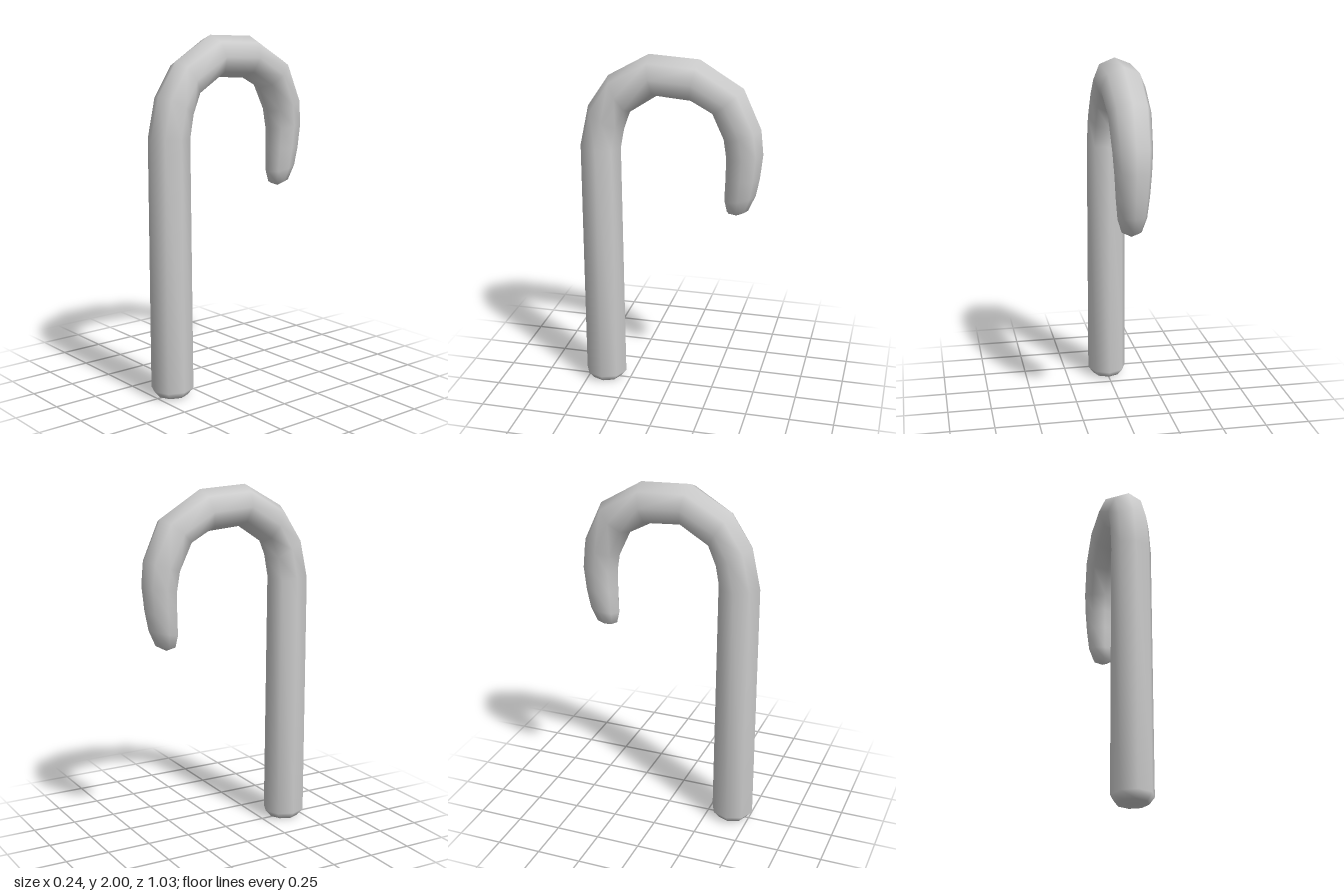
import * as THREE from 'three';
import { mergeVertices } from 'three/addons/utils/BufferGeometryUtils.js';

const SIDES = 8;

// Cross-sections from foot to tip: outer z, outer y, inner z, inner y, half width
const RINGS = [
  [0.40, 0.005, 0.40, 0.005, 0],
  [0.485, 0.01, 0.31, 0.01, 0.085],
  [0.52, 0.05, 0.275, 0.05, 0.115],
  [0.52, 1.46, 0.285, 1.46, 0.112],
  [0.47, 1.69, 0.265, 1.57, 0.11],
  [0.35, 1.87, 0.23, 1.67, 0.107],
  [0.12, 2.0, 0.08, 1.77, 0.122],
  [-0.16, 1.985, -0.11, 1.755, 0.122],
  [-0.40, 1.84, -0.23, 1.69, 0.116],
  [-0.50, 1.62, -0.295, 1.55, 0.108],
  [-0.515, 1.48, -0.31, 1.45, 0.1],
  [-0.50, 1.34, -0.31, 1.34, 0.092],
  [-0.48, 1.24, -0.305, 1.20, 0.08],
  [-0.44, 1.15, -0.32, 1.135, 0.055],
  [-0.375, 1.115, -0.375, 1.115, 0],
];

// Skin a closed tube through the octagonal cross-sections
function caneGeometry() {
  const positions = [];
  const index = [];
  RINGS.forEach(([zo, yo, zi, yi, w], i) => {
    for (let j = 0; j < SIDES; j++) {
      const a = (j / SIDES) * Math.PI * 2;
      const t = (1 - Math.cos(a)) / 2;
      positions.push(w * Math.sin(a), yo + (yi - yo) * t, zo + (zi - zo) * t);
      if (i === RINGS.length - 1) continue;
      const p = i * SIDES + j;
      const q = i * SIDES + ((j + 1) % SIDES);
      // the first and last bands close to a point
      if (i > 0) index.push(p, q, p + SIDES);
      if (i < RINGS.length - 2) index.push(q, q + SIDES, p + SIDES);
    }
  });
  const geometry = new THREE.BufferGeometry();
  geometry.setAttribute('position', new THREE.Float32BufferAttribute(positions, 3));
  geometry.setIndex(index);
  const merged = mergeVertices(geometry, 1e-4);
  merged.computeVertexNormals();
  return merged;
}

export function createModel() {
  const model = new THREE.Group();
  model.name = 'hookedCane';
  // Shaft, crook and tapered tip form one continuous body
  const cane = new THREE.Mesh(caneGeometry(), new THREE.MeshStandardMaterial({ color: 0xcccccc }));
  cane.name = 'shaftAndHook';
  model.add(cane);
  return model;
}
